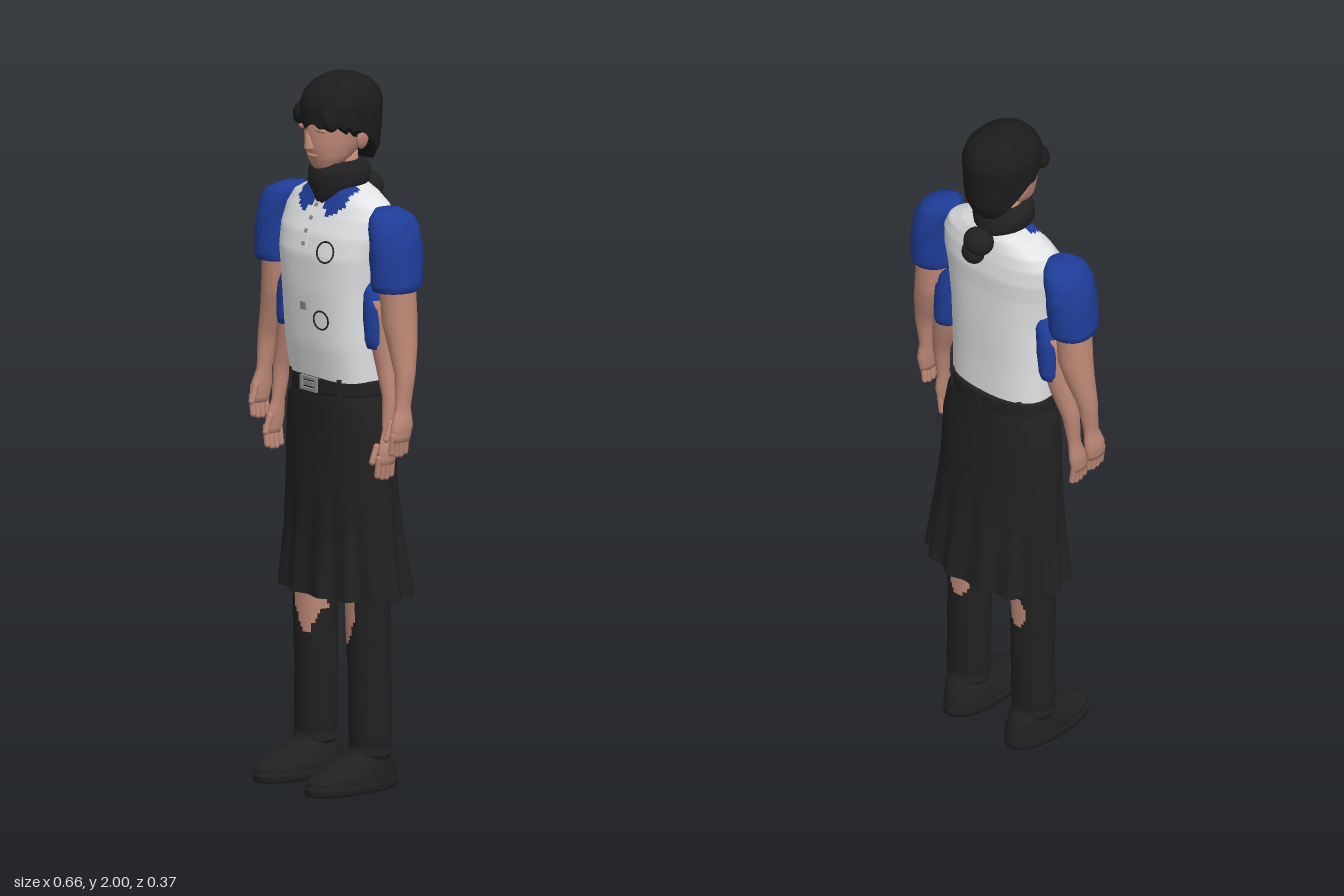
import * as THREE from 'three';

const mat = (name, color, side = THREE.FrontSide) => {
  const m = new THREE.MeshStandardMaterial({ color, side });
  m.name = name;
  return m;
};

// Linear lookup in cross-sections [y, cx, cz, rx, rz], listed bottom to top
function sample(secs, y) {
  let i = 0;
  while (i < secs.length - 2 && y > secs[i + 1][0]) i++;
  const a = secs[i], b = secs[i + 1];
  const t = THREE.MathUtils.clamp((y - a[0]) / (b[0] - a[0]), 0, 1);
  return a.map((v, k) => v + (b[k] - v) * t);
}

const spow = (v, p) => Math.sign(v) * Math.abs(v) ** p;

// Skin a stack of horizontal superellipse rings
function loft(name, secs, mats, o = {}) {
  const { seg = 24, sub = 3, p = 1, open = false, pick, floor, wave } = o;
  const list = [].concat(mats), pos = [], faces = list.map(() => []);
  const rows = (secs.length - 1) * sub;
  for (let i = 0; i <= rows; i++) {
    const k = Math.min(Math.floor(i / sub), secs.length - 2);
    const y0 = THREE.MathUtils.lerp(secs[k][0], secs[k + 1][0], i / sub - k);
    for (let j = 0; j < seg; j++) {
      const a = j / seg * Math.PI * 2;
      const y = floor ? Math.max(y0, floor(a)) : y0;
      const [, cx, cz, rx, rz] = sample(secs, y);
      const w = wave ? wave(a, y) : 1;
      pos.push(cx + rx * w * spow(Math.cos(a), p), y, cz + rz * w * spow(Math.sin(a), p));
    }
  }
  const mid = (a, b, c) => (pos[a * 3 + c] + pos[b * 3 + c]) / 2;
  for (let i = 0; i < rows; i++) for (let j = 0; j < seg; j++) {
    const a = i * seg + j, b = i * seg + (j + 1) % seg, c = a + seg, d = b + seg;
    const f = faces[pick ? pick(mid(a, d, 0), mid(a, d, 1), mid(a, d, 2)) : 0];
    f.push(a, c, b, b, c, d);
  }
  if (!open) for (const top of [0, 1]) {
    const s = secs[top ? secs.length - 1 : 0], c = pos.length / 3, r = top * rows * seg;
    pos.push(s[1], s[0], s[2]);
    for (let j = 0; j < seg; j++) {
      const a = r + j, b = r + (j + 1) % seg;
      faces[0].push(c, top ? b : a, top ? a : b);
    }
  }
  const g = new THREE.BufferGeometry();
  g.setAttribute('position', new THREE.Float32BufferAttribute(pos, 3));
  g.setIndex(faces.flat());
  let start = 0;
  if (list.length > 1) faces.forEach((f, i) => { g.addGroup(start, f.length, i); start += f.length; });
  g.computeVertexNormals();
  const m = new THREE.Mesh(g, list.length > 1 ? list : list[0]);
  m.name = name;
  return m;
}

export function createModel() {
  const root = new THREE.Group();
  root.name = 'figure';
  const black = mat('black cloth', 0x212121, THREE.DoubleSide);
  const hairMat = mat('black hair', 0x1c1c1c, THREE.DoubleSide);
  const white = mat('white shirt', 0xe2e3e4);
  const blue = mat('blue sleeves', 0x1f3d98);
  const skin = mat('skin', 0xbd8876);
  const grey = mat('grey metal', 0x8c8c8c);
  const add = (name, geo, m, x, y, z, parent = root) => {
    const mesh = new THREE.Mesh(geo, m);
    mesh.name = name;
    mesh.position.set(x, y, z);
    parent.add(mesh);
    return mesh;
  };
  const ball = (name, m, x, y, z, rx, ry, rz, parent) => {
    const b = add(name, new THREE.SphereGeometry(1, 16, 12), m, x, y, z, parent);
    b.scale.set(rx, ry, rz);
    return b;
  };

  // Shirt body with blue collar flaps
  const torso = [[1.13, 0, -.01, .16, .095], [1.25, 0, 0, .165, .105], [1.4, 0, .003, .17, .113],
    [1.5, 0, .003, .183, .114], [1.56, 0, -.006, .192, .108], [1.61, 0, -.016, .192, .092],
    [1.645, 0, -.022, .175, .078], [1.672, 0, -.024, .125, .068], [1.69, 0, -.022, .075, .06]];
  const P = .82;
  root.add(loft('shirt', torso, [white, blue], { seg: 80, sub: 6, p: P, pick: (x, y, z) => {
    const u = Math.abs(x);
    return z > -.01 && u > .012 && u < .1 && y > 1.605 + Math.max((.055 - u) * .9, (u - .055) * .8) ? 1 : 0;
  } }));

  // Details laid on the shirt front
  const frontZ = (x, y) => {
    const [, , cz, rx, rz] = sample(torso, y);
    return cz + rz * (1 - Math.abs(x / rx) ** (2 / P)) ** (P / 2);
  };
  const onShirt = (name, geo, m, x, y) => {
    const z = frontZ(x, y), e = .015;
    const n = new THREE.Vector3((frontZ(x - e, y) - frontZ(x + e, y)) / (2 * e),
      (frontZ(x, y - e) - frontZ(x, y + e)) / (2 * e), 1).normalize();
    const d = add(name, geo, m, x, y, z);
    d.lookAt(d.position.clone().add(n));
    d.position.addScaledVector(n, .001);
  };
  onShirt('upperBadge', new THREE.TorusGeometry(.029, .0025, 6, 32), black, .085, 1.52);
  onShirt('lowerBadge', new THREE.TorusGeometry(.026, .0025, 6, 32), black, .067, 1.325);
  onShirt('button', new THREE.BoxGeometry(.022, .022, .008), grey, 0, 1.357);
  for (let i = 0; i < 7; i++) {
    onShirt('placket', new THREE.BoxGeometry(.02, .02, .008), white, 0, 1.53 + i * .017);
    if (i % 2 === 0) onShirt('placketStud', new THREE.BoxGeometry(.011, .011, .014), grey, 0, 1.53 + i * .017);
  }

  // Head
  root.add(loft('neck', [[1.62, 0, -.02, .05, .05], [1.78, 0, -.01, .05, .055]], skin));
  root.add(loft('head', [[1.733, 0, .042, .028, .026], [1.745, 0, .034, .043, .042], [1.77, 0, .022, .06, .064],
    [1.8, 0, .008, .07, .086], [1.84, 0, -.003, .078, .098], [1.89, 0, -.01, .082, .1],
    [1.95, 0, -.02, .06, .075]], skin, { seg: 32 }));
  const nose = add('nose', new THREE.ConeGeometry(.017, .05, 8), skin, 0, 1.825, .098);
  nose.rotation.x = .25;
  ball('lips', skin, 0, 1.777, .083, .022, .008, .009);
  for (const s of [-1, 1]) {
    ball('ear', skin, s * .082, 1.822, -.028, .011, .031, .02).rotation.z = -s * .2;
    ball('brow', skin, s * .034, 1.852, .083, .024, .007, .01);
  }
  // Hair: dome with jagged fringe, longer at the back
  const hair = [[1.75, 0, -.055, .062, .058], [1.79, 0, -.042, .085, .09], [1.83, 0, -.022, .096, .114],
    [1.87, 0, -.018, .1, .121], [1.92, 0, -.019, .101, .122], [1.95, 0, -.02, .09, .11], [1.975, 0, -.02, .069, .086],
    [1.992, 0, -.018, .04, .05], [2, 0, -.018, .012, .015]];
  root.add(loft('hair', hair, hairMat, { seg: 64, sub: 4, floor: a => {
    const s = Math.sin(a);
    return s > .35 ? 1.85 + .025 * Math.abs(Math.sin(a * 5 + .6))
      : 1.85 - .1 * THREE.MathUtils.smoothstep(-s, -.1, .75);
  } }));
  for (const s of [-1, 1]) ball('fringeTuft', hairMat, s * .062, 1.885, .07, .024, .035, .026).rotation.z = s * .3;

  // Scarf knotted at the back
  root.add(loft('scarf', [[1.635, 0, .015, .03, .045], [1.665, 0, -.005, .06, .075], [1.695, 0, -.012, .08, .09],
    [1.73, 0, -.012, .082, .088], [1.755, 0, -.012, .07, .075]], black,
  { seg: 32, wave: (a, y) => 1 + .02 * Math.sin(a * 3 + y * 90) }));
  ball('scarfKnot', black, 0, 1.665, -.115, .045, .04, .04);
  ball('scarfTail', black, .012, 1.627, -.125, .035, .033, .028);

  // Two pairs of arms
  const armShape = [[1.015, 1, .022, .013, .032], [1.06, 1, .016, .019, .036], [1.11, .9, .008, .017, .024],
    [1.2, .84, -.002, .027, .03], [1.28, .45, -.01, .041, .042], [1.34, .18, -.012, .049, .05], [1.47, 0, -.01, .05, .052]];
  const arm = (s, name, xTop, xHand, dy, k) => {
    const g = new THREE.Group();
    g.name = name;
    root.add(g);
    g.add(loft('forearm', armShape.map(([y, t, z, rx, rz]) =>
      [y + dy, s * THREE.MathUtils.lerp(xTop, xHand, t), z, rx * k, rz * k]), skin, { seg: 20 }));
    for (let i = 0; i < 4; i++) {
      const f = add('finger', new THREE.CapsuleGeometry(.0085, .05, 3, 8), skin,
        s * (xHand - .003), 1 + dy + Math.abs(i - 1.4) * .006, i * .016, g);
      f.rotation.z = -s * .14;
    }
    const thumb = add('thumb', new THREE.CapsuleGeometry(.009, .045, 3, 8), skin, s * (xHand - .014), 1.045 + dy, .052, g);
    thumb.rotation.x = -.35;
  };
  const wrinkle = (a, y) => 1 + .018 * Math.sin(a * 4 + y * 70);
  for (const s of [-1, 1]) {
    arm(s, 'upperArm', .256, .311, 0, 1);
    arm(s, 'lowerArm', .198, .249, -.075, .86);
    root.add(loft('upperSleeve', [[1.43, .256, -.008, .058, .068], [1.45, .257, -.009, .062, .078],
      [1.55, .25, -.012, .06, .082], [1.6, .24, -.013, .058, .077], [1.63, .229, -.014, .054, .066],
      [1.65, .21, -.015, .03, .04]].map(r => [r[0], s * r[1], ...r.slice(2)]), blue, { wave: wrinkle }));
    root.add(loft('lowerSleeve', [[1.258, .196, -.012, .038, .05], [1.28, .195, -.012, .042, .058],
      [1.37, .188, -.012, .045, .058], [1.41, .178, -.012, .04, .05], [1.44, .16, -.012, .03, .035]]
      .map(r => [r[0], s * r[1], ...r.slice(2)]), blue, { wave: wrinkle }));

    // Trouser leg with torn openings at the knee, front and back
    root.add(loft('trouserLeg', [[.085, .12, -.024, .056, .05], [.1, .12, -.024, .063, .055],
      [.12, .12, -.024, .06, .052], [.14, .12, -.024, .063, .053], [.3, .118, -.024, .062, .055], [.42, .117, -.021, .061, .059],
      [.54, .116, -.02, .062, .062], [.68, .112, -.02, .075, .075], [.9, .1, -.02, .08, .085]]
      .map(r => [r[0], s * r[1], ...r.slice(2)]), [black, skin], { seg: 56, sub: 9, p: .9, pick: (x, y, z) => {
      const u = s * x;
      if (z > -.02) return y > .41 && y < .62 && Math.abs(u - .092) < .037 * Math.min(1, .3 + (y - .41) / .1) ? 1 : 0;
      return [.44, .575].some(c => ((y - c) / .045) ** 2 + ((u - .107) / .032) ** 2 < 1) ? 1 : 0;
    } }));

    // Shoe
    const shoe = [[0, .114, .037, .066, .151], [.02, .114, .038, .069, .153], [.022, .114, .036, .066, .149],
      [.04, .114, .034, .066, .146], [.06, .115, .016, .063, .122], [.08, .117, -.008, .059, .09],
      [.1, .119, -.022, .053, .062], [.115, .12, -.024, .05, .05]];
    root.add(loft('shoe', shoe.map(r => [r[0], s * r[1], ...r.slice(2)]), black, { seg: 32, p: .9 }));
  }

  // Pleated, flared skirt
  root.add(loft('skirt', [[.54, 0, -.035, .22, .142], [.62, 0, -.032, .211, .133], [.7, 0, -.029, .203, .124],
    [.85, 0, -.021, .195, .115], [1, 0, -.018, .192, .108], [1.08, 0, -.013, .179, .104],
    [1.125, 0, -.012, .16, .1]], black, { seg: 112, sub: 4, p: .92, open: true,
    wave: (a, y) => 1 + .055 * Math.cos(a * 14) * THREE.MathUtils.smoothstep(.95 - y, 0, .4) }));

  // Belt, loops and buckle
  const belt = [[1.11, 0, -.012, .163, .102], [1.115, 0, -.012, .168, .105], [1.15, 0, -.012, .168, .105], [1.155, 0, -.012, .163, .102]];
  root.add(loft('belt', belt, black, { seg: 48, p: .92 }));
  for (const a of [.9, 2.24, 3.9, 4.71, 5.52]) {
    const l = add('beltLoop', new THREE.BoxGeometry(.014, .055, .012), black, .167 * Math.cos(a) * 1.02, 1.132, -.012 + .108 * Math.sin(a));
    l.rotation.y = Math.PI / 2 - a;
  }
  const frame = new THREE.Shape([[-.036, -.02], [.036, -.02], [.036, .02], [-.036, .02]].map(v => new THREE.Vector2(...v)));
  frame.holes.push(new THREE.Path([[-.027, -.012], [-.027, .012], [.027, .012], [.027, -.012]].map(v => new THREE.Vector2(...v))));
  add('buckleFrame', new THREE.ExtrudeGeometry(frame, { depth: .012, bevelEnabled: false }), grey, 0, 1.134, .088);
  add('bucklePlate', new THREE.BoxGeometry(.04, .012, .009), grey, 0, 1.134, .094);

  return root;
}
